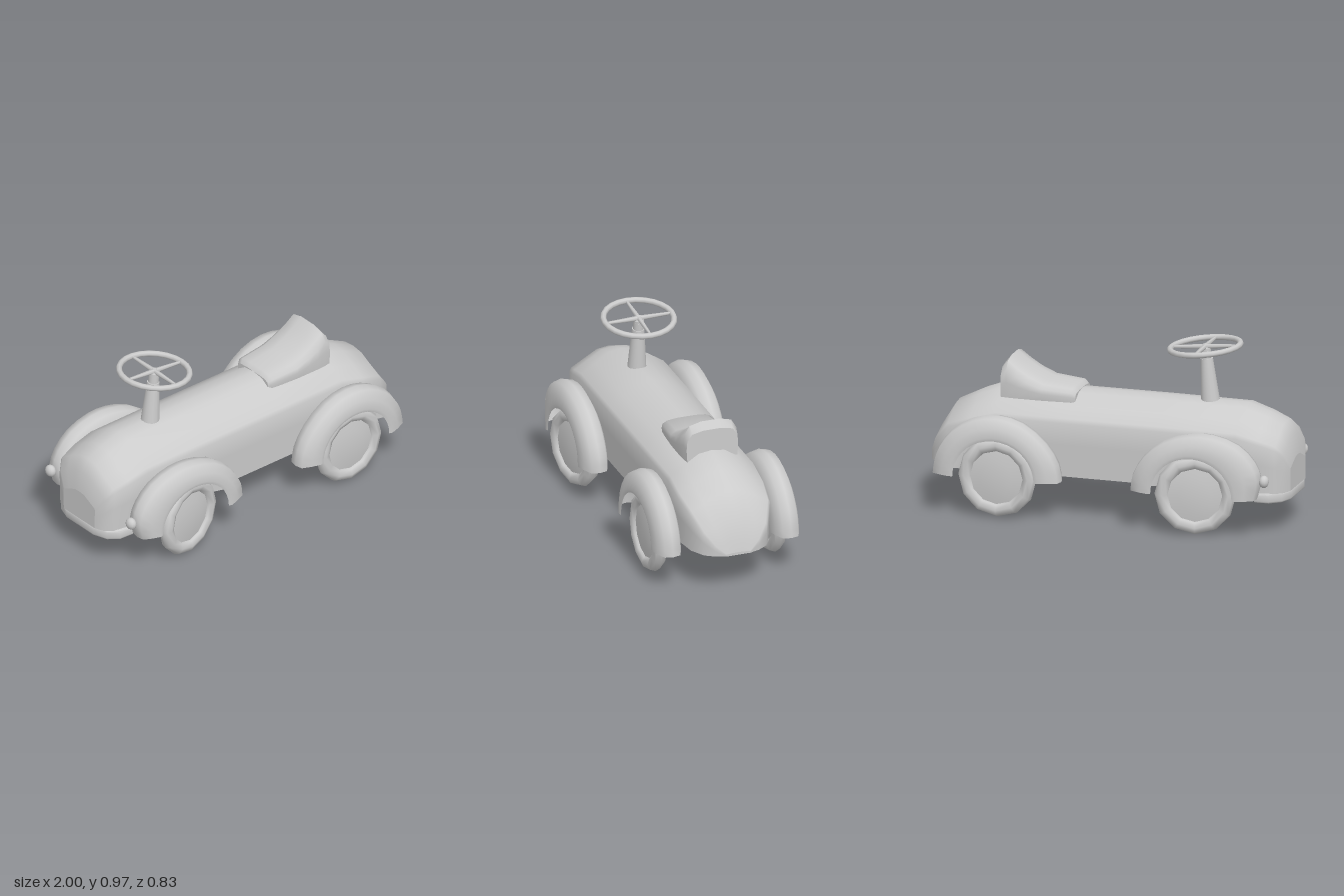
import * as THREE from 'three';
import { toCreasedNormals } from 'three/addons/utils/BufferGeometryUtils.js';

const material = new THREE.MeshStandardMaterial({ color: 0xcccccc, side: THREE.DoubleSide });
const V = (x, y, z) => new THREE.Vector3(x, y, z);

function part(parent, name, geometry, x = 0, y = 0, z = 0) {
  const mesh = new THREE.Mesh(geometry, material);
  mesh.name = name;
  mesh.position.set(x, y, z);
  parent.add(mesh);
  return mesh;
}

// Skin a row of cross-sections; a solid loft closes each ring and caps both ends
function loft(rings, solid) {
  const pos = [];
  const tri = (...pts) => pts.forEach((p) => pos.push(p.x, p.y, p.z));
  const n = rings[0].length;
  const spans = solid ? n : n - 1;
  for (let i = 0; i < rings.length - 1; i++) {
    for (let j = 0; j < spans; j++) {
      const k = (j + 1) % n;
      const [a, b, c, d] = [rings[i][j], rings[i + 1][j], rings[i + 1][k], rings[i][k]];
      tri(a, b, c);
      tri(a, c, d);
    }
  }
  if (solid) {
    [rings[0], rings[rings.length - 1]].forEach((ring, end) => {
      const mid = ring.reduce((s, p) => s.add(p), V(0, 0, 0)).divideScalar(n);
      for (let j = 0; j < n; j++) {
        const k = (j + 1) % n;
        if (end) tri(mid, ring[j], ring[k]);
        else tri(mid, ring[k], ring[j]);
      }
    });
  }
  const g = new THREE.BufferGeometry();
  g.setAttribute('position', new THREE.Float32BufferAttribute(pos, 3));
  return toCreasedNormals(g, 1.2);
}

// Mirror a half profile of [width, height] fractions into a full one, +z to -z
const mirrored = (half) => [...half, ...half.slice(0, -1).reverse().map(([w, h]) => [-w, h])];

// Solid along x from stations of [x, half width, bottom, top]
function hull(stations, half) {
  const profile = mirrored(half);
  return loft(stations.map(([x, w, lo, hi]) =>
    profile.map(([u, v]) => V(x, lo + v * (hi - lo), u * w))), true);
}

function bodyGeometry() {
  const stations = [
    [-1, 0.13, 0.222, 0.39], [-0.98, 0.185, 0.222, 0.5], [-0.94, 0.22, 0.222, 0.57],
    [-0.85, 0.237, 0.222, 0.61], [-0.73, 0.243, 0.222, 0.65], [-0.3, 0.244, 0.222, 0.652],
    [0.2, 0.244, 0.222, 0.65], [0.6, 0.244, 0.222, 0.65], [0.74, 0.244, 0.222, 0.595],
    [0.87, 0.225, 0.222, 0.53], [0.95, 0.18, 0.222, 0.4], [0.985, 0.125, 0.222, 0.3],
    [1, 0.07, 0.22, 0.235],
  ];
  return hull(stations, [[0.97, 0], [0.99, 0.4], [1, 0.68], [0.95, 0.735], [0.64, 0.85], [0.3, 0.975], [0, 1]]);
}

function seatGeometry() {
  const stations = [
    [0.19, 0.125, 0.6, 0.65], [0.21, 0.14, 0.6, 0.672], [0.37, 0.152, 0.6, 0.688],
    [0.45, 0.153, 0.6, 0.725], [0.51, 0.153, 0.6, 0.765], [0.565, 0.15, 0.6, 0.81],
    [0.597, 0.145, 0.6, 0.77],
  ];
  return hull(stations, [[0.97, 0], [1, 0.4], [0.97, 0.7], [0.78, 0.92], [0.35, 1], [0, 1]]);
}

// Hollow mudguard: sweeps a tapered section from the wheel arch to the outer edge
function fenderGeometry(outline) {
  const steps = 18;
  const outer = new THREE.CatmullRomCurve3(outline.map(([x, y]) => V(x, y, 0))).getPoints(steps);
  const section = mirrored([[0.076, 0], [0.081, 0.15], [0.066, 0.52], [0.043, 0.92], [0, 1]]);
  return loft(outer.map((o, i) => {
    const a = Math.PI * (1 - i / steps);
    const inner = V(0.225 * Math.cos(a), 0.22 + 0.21 * Math.sin(a), 0);
    return section.map(([z, t]) => inner.clone().lerp(o, t).setZ(z));
  }), false);
}

// Round tyre with a thin domed hub
function wheel(name) {
  const group = new THREE.Group();
  group.name = name;
  part(group, 'tyre', new THREE.TorusGeometry(0.177, 0.039, 8, 12));
  const hub = [[0, -0.028], [0.09, -0.025], [0.15, -0.016], [0.15, 0.016], [0.09, 0.025], [0, 0.028]];
  const hubGeometry = new THREE.LatheGeometry(hub.map(([r, y]) => new THREE.Vector2(r, y)), 12);
  hubGeometry.rotateX(Math.PI / 2);
  part(group, 'hub', toCreasedNormals(hubGeometry, 0.7));
  return group;
}

// Bar wrapped around the nose
function bumperGeometry() {
  const half = [[-0.84, 0.23], [-0.91, 0.225], [-0.965, 0.185], [-0.991, 0.11]];
  const outer = [...half, ...half.map(([x, z]) => [x, -z]).reverse()];
  const inner = outer.map(([x, z]) => [x + 0.05, z * 0.8]).reverse();
  inner[0][0] = inner[inner.length - 1][0] = -0.84;
  const shape = new THREE.Shape([...outer, ...inner].map(([x, z]) => new THREE.Vector2(x, z)));
  const g = new THREE.ExtrudeGeometry(shape, {
    depth: 0.034, bevelThickness: 0.01, bevelSize: 0.008, bevelSegments: 2,
  });
  g.rotateX(Math.PI / 2);
  return toCreasedNormals(g, 0.8);
}

function steering() {
  const group = new THREE.Group();
  group.name = 'steering';
  // Leaning column and shaft
  const column = part(group, 'column', new THREE.CylinderGeometry(0.033, 0.051, 0.24, 14), -0.506, 0.75, 0);
  column.rotation.z = -0.09;
  const shaft = part(group, 'shaft', new THREE.CylinderGeometry(0.028, 0.028, 0.08, 14), -0.492, 0.885, 0);
  shaft.rotation.z = -0.09;
  // Tilted wheel with four spokes
  const top = new THREE.Group();
  top.name = 'steeringWheel';
  top.position.set(-0.487, 0.933, 0);
  top.rotation.z = -0.1;
  const rim = new THREE.TorusGeometry(0.187, 0.016, 8, 24);
  rim.rotateX(Math.PI / 2);
  part(top, 'rim', rim);
  for (let i = 0; i < 4; i++) {
    const spoke = new THREE.CylinderGeometry(0.008, 0.014, 0.18, 6);
    spoke.translate(0, 0.09, 0);
    spoke.rotateZ(Math.PI / 2);
    part(top, 'spoke', spoke).rotation.y = i * Math.PI / 2;
  }
  part(top, 'hubCap', new THREE.CylinderGeometry(0.012, 0.028, 0.035, 10), 0, -0.004, 0);
  group.add(top);
  return group;
}

export function createModel() {
  const model = new THREE.Group();
  model.name = 'rideOnCar';
  part(model, 'body', bodyGeometry(), 0, 0, -0.005);
  part(model, 'seat', seatGeometry(), 0, 0, -0.01);
  part(model, 'bumper', bumperGeometry(), 0, 0.214, 0);
  const steeringGroup = steering();
  steeringGroup.position.z = -0.004;
  model.add(steeringGroup);

  const frontFender = fenderGeometry([
    [-0.34, 0.22], [-0.365, 0.33], [-0.33, 0.42], [-0.24, 0.505], [-0.1, 0.55],
    [0.02, 0.548], [0.17, 0.5], [0.28, 0.41], [0.345, 0.3], [0.355, 0.22],
  ]);
  const rearFender = fenderGeometry([
    [-0.355, 0.22], [-0.34, 0.31], [-0.27, 0.42], [-0.14, 0.52], [0, 0.553],
    [0.13, 0.53], [0.25, 0.455], [0.32, 0.36], [0.345, 0.29], [0.355, 0.22],
  ]);
  const lamp = new THREE.SphereGeometry(0.033, 12, 8);
  lamp.scale(0.8, 1, 1);

  for (const side of [1, -1]) {
    const label = side > 0 ? 'Left' : 'Right';
    const z = side * 0.332 - 0.005;
    part(model, 'frontFender' + label, frontFender, -0.54, 0, z);
    part(model, 'rearFender' + label, rearFender, 0.555, 0, z);
    // The front pair is steered slightly
    for (const [end, x, turn] of [['front', -0.54, 0.2], ['rear', 0.555, 0]]) {
      const w = wheel(end + 'Wheel' + label);
      w.position.set(x, 0.217, side * 0.336 - 0.002);
      w.rotation.y = turn;
      model.add(w);
    }
    part(model, 'headlamp' + label, lamp, -0.92, 0.32, z);
    const neck = part(model, 'lampNeck' + label,
      new THREE.CylinderGeometry(0.018, 0.018, 0.05, 8), -0.89, 0.32, z);
    neck.rotation.z = Math.PI / 2;
  }
  return model;
}
